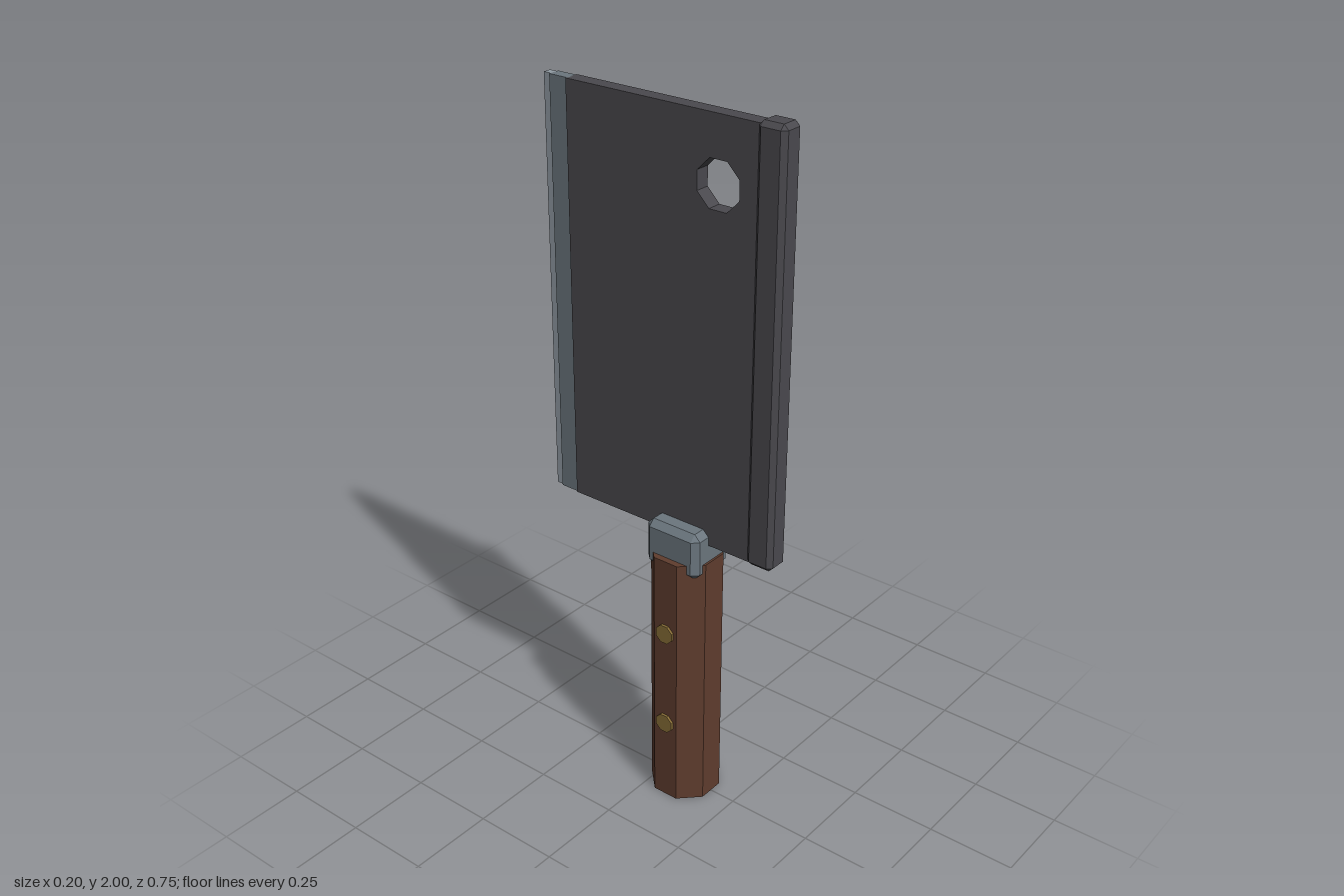
import * as THREE from 'three';
import { ConvexGeometry } from 'three/addons/geometries/ConvexGeometry.js';

const mat = (name, color) => {
  const m = new THREE.MeshStandardMaterial({ color });
  m.name = name;
  m.flatShading = true;
  return m;
};

// Box with all twelve edges chamfered by c
function chamferBox(w, h, d, c) {
  const half = [w / 2, h / 2, d / 2];
  const points = [];
  for (const sx of [-1, 1]) for (const sy of [-1, 1]) for (const sz of [-1, 1]) {
    for (let axis = 0; axis < 3; axis++) {
      const p = half.map((v, i) => (i === axis ? v : v - c));
      points.push(new THREE.Vector3(p[0] * sx, p[1] * sy, p[2] * sz));
    }
  }
  return new ConvexGeometry(points);
}

export function createModel() {
  const group = new THREE.Group();
  group.name = 'cleaver';

  const darkSteel = mat('dark steel', 0x4a494e);
  const steel = mat('steel', 0x6b767e);
  const brightSteel = mat('bright steel', 0x929ca4);
  const wood = mat('wood', 0x5f3d2e);
  const brass = mat('brass', 0x866c36);

  const add = (name, geometry, material, x, y, z) => {
    const mesh = new THREE.Mesh(geometry, material);
    mesh.name = name;
    mesh.position.set(x, y, z);
    group.add(mesh);
    return mesh;
  };

  const bottom = 0.827, top = 1.99, gripZ = 0.078;
  const midY = (bottom + top) / 2, bladeH = top - bottom;

  // Blade slab with an octagonal hanging hole, drawn in (z, y)
  const outline = new THREE.Shape([
    new THREE.Vector2(-0.295, bottom), new THREE.Vector2(0.34, bottom),
    new THREE.Vector2(0.34, top), new THREE.Vector2(-0.295, top),
  ]);
  const holePoints = [];
  for (let i = 0; i < 8; i++) {
    const a = (i + 0.5) * Math.PI / 4;
    holePoints.push(new THREE.Vector2(0.178 + 0.0677 * Math.cos(a), 1.817 + 0.0677 * Math.sin(a)));
  }
  outline.holes.push(new THREE.Path(holePoints));
  const blade = new THREE.ExtrudeGeometry(outline, { depth: 0.042, bevelEnabled: false });
  blade.translate(0, 0, -0.021).rotateY(-Math.PI / 2);
  add('blade', blade, darkSteel, 0, 0, 0);

  // Thick spine along the front of the blade
  add('spine', chamferBox(0.07, 1.175, 0.081, 0.013), darkSteel, 0, 1.4125, 0.3335);

  // Cutting edge, stepped thinner toward the back
  add('edgeBevel', new THREE.BoxGeometry(0.034, bladeH, 0.06), steel, 0, midY, -0.322);
  add('cuttingEdge', new THREE.BoxGeometry(0.023, bladeH, 0.036), brightSteel, 0, midY, -0.357);

  // Collar whose corners overlap the top of the handle
  add('collar', chamferBox(0.149, 0.137, 0.174, 0.018), steel, 0, 0.8015, gripZ);

  // Octagonal handle
  const grip = new THREE.CylinderGeometry(0.1007, 0.1007, 0.777, 8);
  grip.rotateY(Math.PI / 8);
  add('handle', grip, wood, 0, 0.3885, gripZ);

  // Rivets through the handle, showing on both sides
  const rivet = new THREE.CylinderGeometry(0.029, 0.029, 0.201, 8);
  rivet.rotateY(Math.PI / 8).rotateZ(Math.PI / 2);
  for (const y of [0.252, 0.55]) add('rivet', rivet, brass, 0, y, gripZ);

  return group;
}
